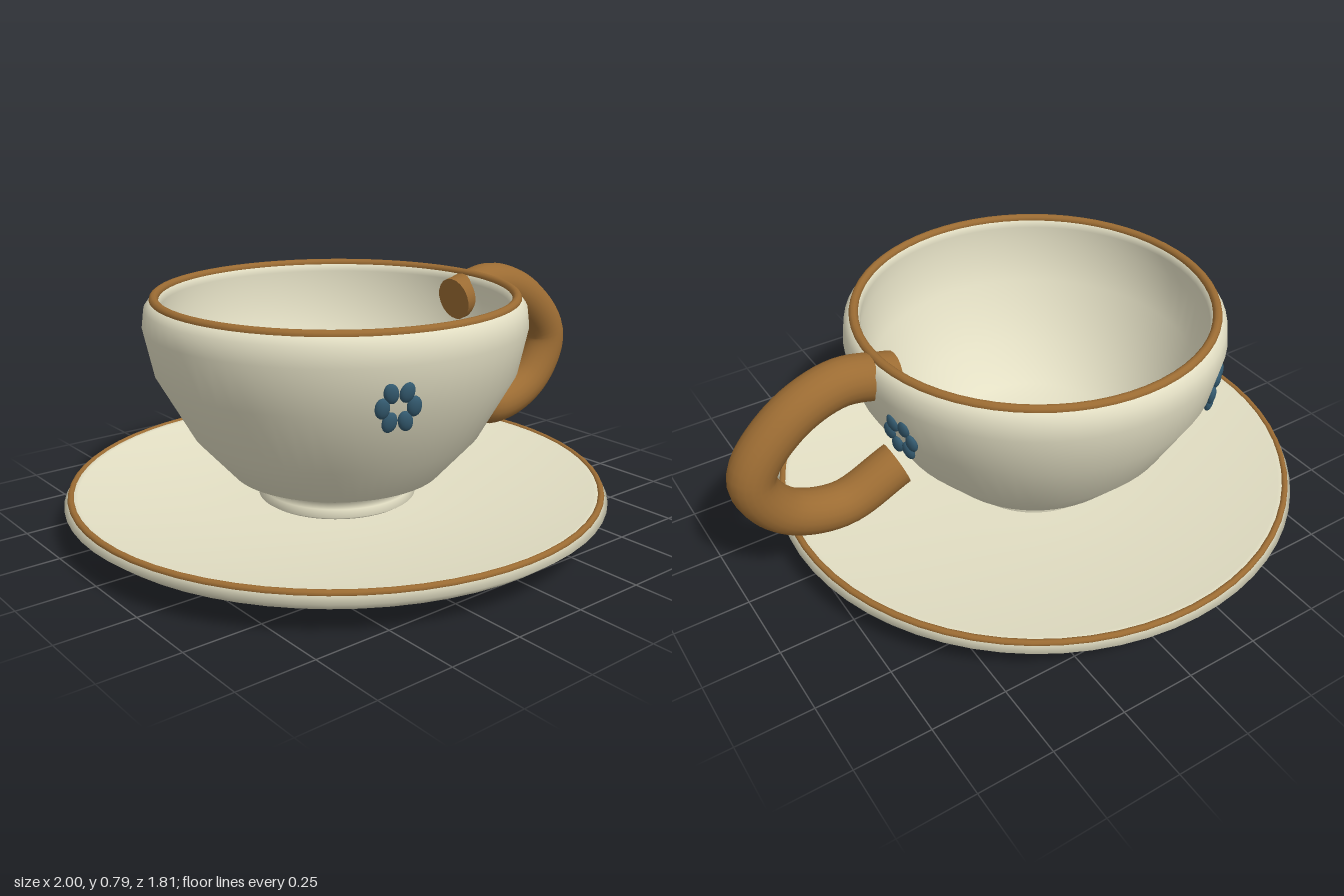
import * as THREE from 'three';

const material = (name, color, side = THREE.FrontSide) => {
  const m = new THREE.MeshStandardMaterial({ color, side });
  m.name = name;
  return m;
};

export function createModel() {
  const model = new THREE.Group();
  model.name = 'teacupAndSaucer';
  const cream = material('creamGlaze', 0xe3dfc4);
  const brown = material('brownGlaze', 0x9c6c33);
  const blue = material('bluePaint', 0x33596e);

  const add = (name, geometry, mat, parent) => {
    const mesh = new THREE.Mesh(geometry, mat);
    mesh.name = name;
    parent.add(mesh);
    return mesh;
  };
  const lathe = (points) =>
    new THREE.LatheGeometry(points.map(([r, y]) => new THREE.Vector2(r, y)), 64);
  const ring = (name, radius, tube, y, parent) => {
    const mesh = add(name, new THREE.TorusGeometry(radius, tube, 10, 64), brown, parent);
    mesh.rotation.x = Math.PI / 2;
    mesh.position.y = y;
  };

  // Everything round shares one axis, shifted to balance the handle
  const round = new THREE.Group();
  round.name = 'cupAndSaucer';
  round.position.x = -0.095;
  model.add(round);

  // Saucer: underside, rim, then dished top
  add('saucer', lathe([
    [0, 0], [0.47, 0.003], [0.72, 0.03], [0.86, 0.075], [0.905, 0.11], [0.885, 0.14],
    [0.86, 0.136], [0.72, 0.11], [0.5, 0.084], [0.3, 0.072], [0, 0.07],
  ]), cream, round);
  ring('saucerTrim', 0.882, 0.011, 0.133, round);

  // Cup: foot, outer wall, lip, then inner wall
  add('cup', lathe([
    [0, 0.08], [0.25, 0.08], [0.265, 0.09], [0.255, 0.115], [0.245, 0.135], [0.275, 0.147],
    [0.355, 0.18], [0.48, 0.32], [0.595, 0.53], [0.626, 0.68], [0.618, 0.74], [0.597, 0.768],
    [0.572, 0.768], [0.564, 0.74], [0.572, 0.68], [0.545, 0.53], [0.435, 0.33],
    [0.31, 0.22], [0.2, 0.185], [0, 0.175],
  ]), cream, round);
  ring('cupRimTrim', 0.585, 0.015, 0.767, round);

  // Handle: thick bent tube with flat ends
  const path = new THREE.CatmullRomCurve3([
    [0.435, 0.68], [0.62, 0.715], [0.8, 0.64], [0.922, 0.48],
    [0.84, 0.32], [0.65, 0.253], [0.44, 0.33],
  ].map(([x, y]) => new THREE.Vector3(x, y, 0)));
  const handle = new THREE.Group();
  handle.name = 'handle';
  model.add(handle);
  add('handleTube', new THREE.TubeGeometry(path, 48, 0.075, 20), brown, handle);
  for (const [t, direction] of [[0, -1], [1, 1]]) {
    const cap = add('handleEnd', new THREE.CircleGeometry(0.075, 20), brown, handle);
    const end = path.getPointAt(t);
    cap.position.copy(end);
    cap.lookAt(end.clone().addScaledVector(path.getTangentAt(t), direction));
  }

  // Three six-petalled flowers around the wall
  const petal = new THREE.SphereGeometry(1, 14, 10);
  for (const degrees of [111, 230, 346]) {
    const a = THREE.MathUtils.degToRad(degrees);
    const flower = new THREE.Group();
    flower.name = 'flower';
    flower.position.set(Math.cos(a) * 0.602, 0.555, Math.sin(a) * 0.602);
    flower.rotation.set(THREE.MathUtils.degToRad(9), Math.PI / 2 - a, 0, 'YXZ');
    round.add(flower);
    for (let i = 0; i < 6; i++) {
      const b = (i * Math.PI) / 3;
      const mesh = add('petal', petal, blue, flower);
      mesh.position.set(Math.cos(b) * 0.048, Math.sin(b) * 0.052, 0);
      mesh.scale.set(0.023, 0.032, 0.014);
      mesh.rotation.z = Math.sin(2 * b) * -0.25;
    }
  }
  return model;
}
